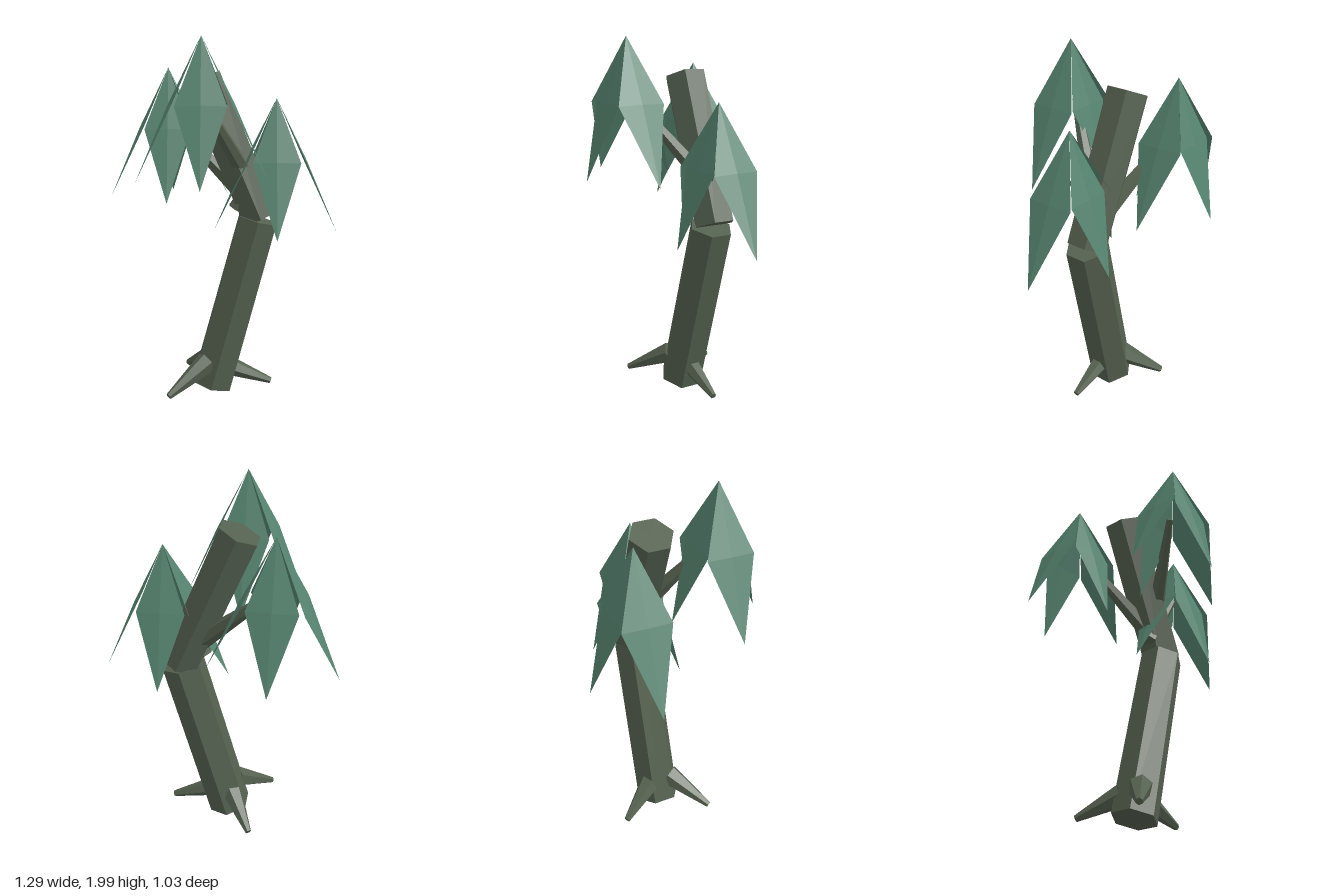
import * as THREE from 'three';

export function createModel() {
  const bark = new THREE.MeshStandardMaterial({ color: 0x556150, flatShading: true });
  bark.name = 'bark';
  const leaf = new THREE.MeshStandardMaterial({ color: 0x568470, flatShading: true, side: THREE.DoubleSide });
  leaf.name = 'leaf';

  const tree = new THREE.Group();
  tree.name = 'tree';
  const up = new THREE.Vector3(0, 1, 0);

  // Tapered six-sided limb running from one point to another
  function limb(name, from, to, r0, r1) {
    const a = new THREE.Vector3(...from), b = new THREE.Vector3(...to);
    const dir = b.clone().sub(a);
    const mesh = new THREE.Mesh(new THREE.CylinderGeometry(r1, r0, dir.length(), 6), bark);
    mesh.name = name;
    mesh.position.copy(a).add(b).multiplyScalar(0.5);
    mesh.quaternion.setFromUnitVectors(up, dir.normalize());
    tree.add(mesh);
  }

  // Bent trunk
  limb('lowerTrunk', [-0.055, 0.035, -0.04], [0.205, 1.007, -0.067], 0.125, 0.12);
  limb('upperTrunk', [0.22, 1.02, -0.078], [-0.105, 1.785, -0.093], 0.115, 0.118);

  // Three roots
  limb('leftRoot', [0.02, 0.15, -0.04], [0.288, 0.05, -0.04], 0.06, 0.018);
  limb('frontRoot', [-0.08, 0.185, 0.02], [-0.288, 0.05, 0.19], 0.065, 0.018);
  limb('backRoot', [-0.07, 0.17, -0.09], [-0.205, 0.05, -0.305], 0.065, 0.018);

  // Branches, each reaching up into one leaf cluster
  limb('rightBranch', [0.1, 1.17, -0.1], [-0.28, 1.53, -0.25], 0.055, 0.02);
  limb('frontBranch', [0.13, 1.27, -0.05], [-0.09, 1.68, 0.24], 0.05, 0.02);
  limb('leftBranch', [0.08, 1.07, -0.055], [0.28, 1.4, -0.04], 0.045, 0.02);

  // Drooping kite-shaped leaf with a slight midrib, hanging outward along +z
  function leafGeometry(reach) {
    const mid = reach * 0.46;
    const points = [
      0, 0, 0,
      -0.13, -0.34, mid,
      0.13, -0.34, mid,
      0, -0.74, reach,
      0, -0.336, mid + 0.01,
    ];
    const g = new THREE.BufferGeometry();
    g.setAttribute('position', new THREE.Float32BufferAttribute(points, 3));
    g.setIndex([0, 1, 4, 0, 4, 2, 1, 3, 4, 4, 3, 2]);
    const flat = g.toNonIndexed();
    flat.computeVertexNormals();
    return flat;
  }
  const shortLeaf = leafGeometry(0.245), longLeaf = leafGeometry(0.345);

  // Clusters of four leaves around an apex
  const apexes = [[-0.303, 1.84, -0.27], [-0.094, 2, 0.27], [0.301, 1.68, -0.042]];
  apexes.forEach((apex) => {
    const cluster = new THREE.Group();
    cluster.name = 'leafCluster';
    cluster.position.set(...apex);
    for (let i = 0; i < 4; i++) {
      const mesh = new THREE.Mesh(i % 2 ? longLeaf : shortLeaf, leaf);
      mesh.name = 'leaf';
      mesh.rotation.y = i * Math.PI / 2;
      cluster.add(mesh);
    }
    tree.add(cluster);
  });

  return tree;
}
